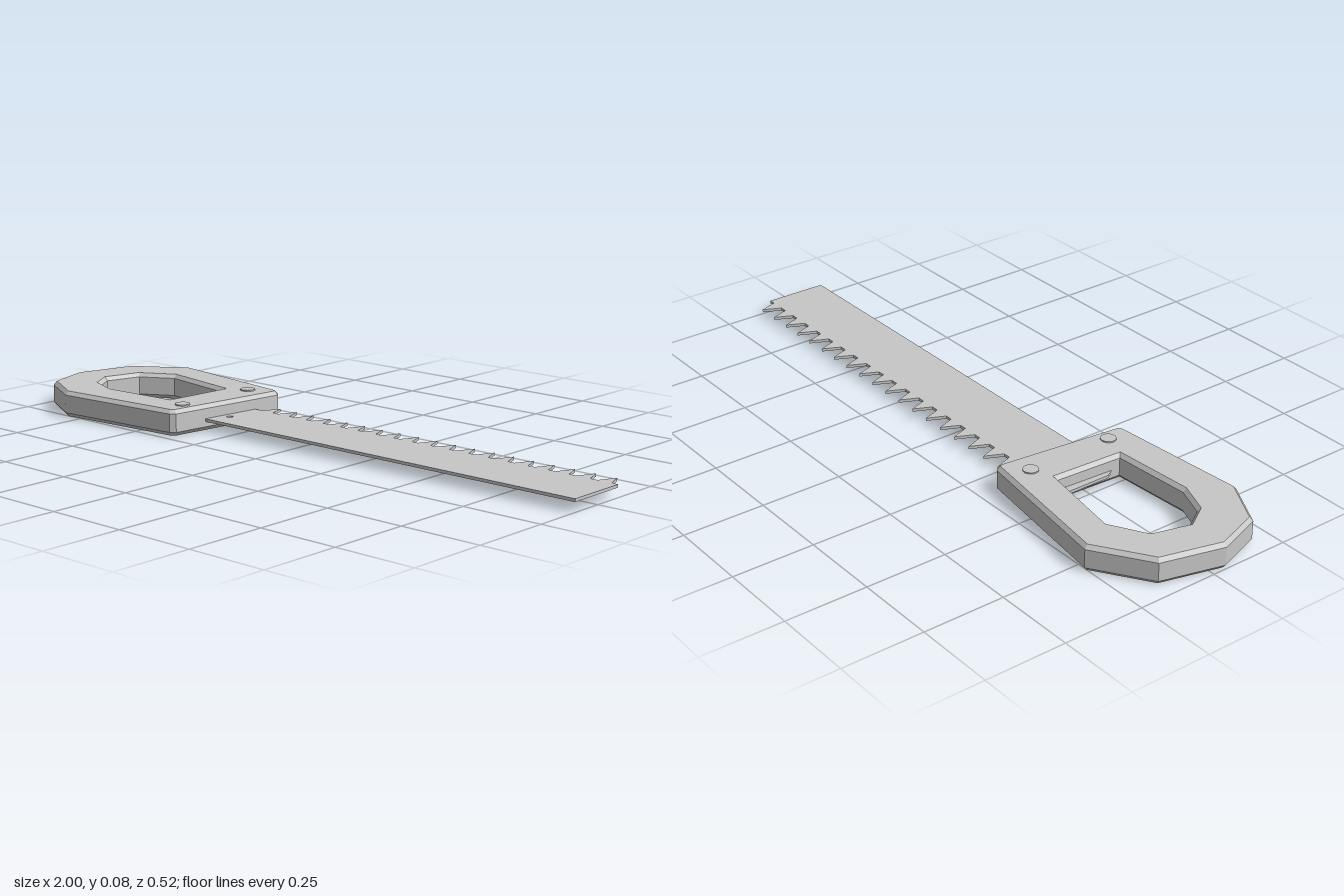
import * as THREE from 'three';

const steel = new THREE.MeshStandardMaterial({ color: 0xc7c7c7 });
steel.name = 'grey';

// Points are [x, z] in plan; the shape lies flat after extrusion
const plan = (pts) => pts.map(([x, z]) => new THREE.Vector2(x, -z));

function slab(name, shape, y, options) {
  const geo = new THREE.ExtrudeGeometry(shape, options);
  geo.rotateX(-Math.PI / 2);
  geo.translate(0, y, 0);
  const mesh = new THREE.Mesh(geo, steel);
  mesh.name = name;
  return mesh;
}

// Chamfered ring handle with a seven-sided grip opening
function makeHandle() {
  const shape = new THREE.Shape(plan([
    [-0.785, -0.26], [-0.334, -0.197], [-0.32, -0.184], [-0.362, 0.213],
    [-0.377, 0.226], [-0.805, 0.26], [-0.95, 0.183], [-1, 0.04], [-0.95, -0.15],
  ]));
  // Opening runs opposite to the outline so that its walls face inward
  shape.holes.push(new THREE.Path(plan([
    [-0.837, -0.08], [-0.867, 0.03], [-0.825, 0.097], [-0.73, 0.133],
    [-0.487, 0.117], [-0.475, -0.097], [-0.735, -0.139],
  ])));
  return slab('handle', shape, 0.012, {
    depth: 0.056, bevelEnabled: true, bevelSegments: 1,
    bevelThickness: 0.012, bevelSize: 0.01, bevelOffset: -0.01,
  });
}

// Thin blade with a row of pointed teeth and a tang passing through the handle
function makeBlade() {
  const back = -0.092;
  const pts = [[-0.48, 0.103], [1, 0.103], [1, back]];
  for (let i = 18; i >= 0; i--) {
    const tip = -0.275 + i * 0.0686;
    pts.push([tip + 0.02, back], [tip, -0.147], [tip - 0.026, back]);
  }
  pts.push([-0.475, back], [-0.5, -0.075], [-0.5, 0.065], [-0.485, 0.09]);
  const shape = new THREE.Shape(plan(pts));
  const pin = new THREE.Path();
  pin.absarc(-0.316, -0.033, 0.01, 0, Math.PI * 2, true);
  shape.holes.push(pin);
  return slab('blade', shape, 0.028, { depth: 0.009, bevelEnabled: false, curveSegments: 12 });
}

export function createModel() {
  const saw = new THREE.Group();
  saw.name = 'handSaw';
  saw.add(makeHandle(), makeBlade());

  // Two rivet heads clamping the blade
  for (const z of [-0.133, 0.147]) {
    const rivet = new THREE.Mesh(new THREE.CylinderGeometry(0.023, 0.023, 0.03, 24), steel);
    rivet.name = 'rivet';
    rivet.position.set(-0.402, 0.069, z);
    saw.add(rivet);
  }
  return saw;
}
